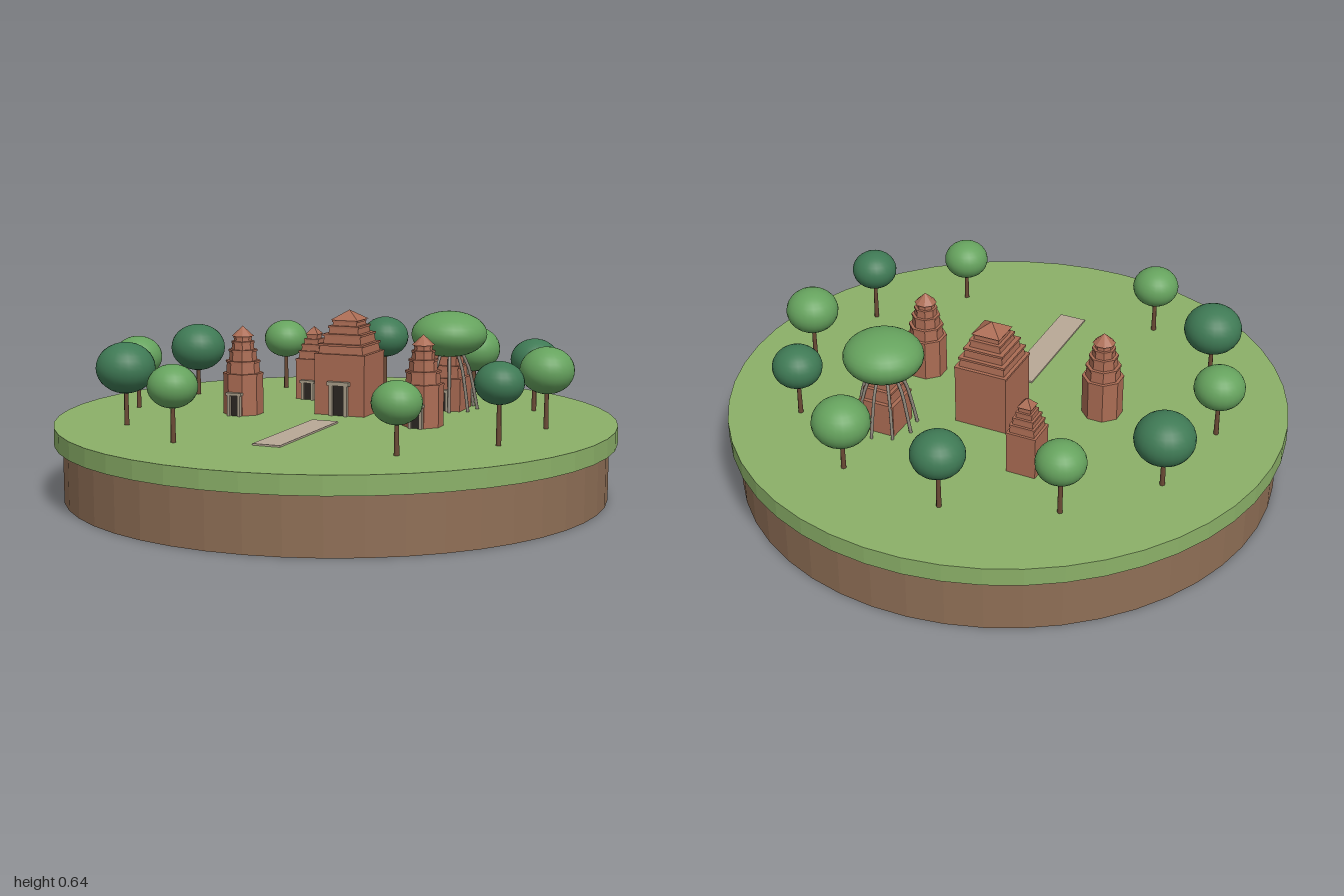
import * as THREE from 'three';

const paint = (name, color) => {
  const m = new THREE.MeshStandardMaterial({ color });
  m.name = name;
  return m;
};

export function createModel() {
  const root = new THREE.Group();
  root.name = 'templeIsland';
  const mat = {
    grass: paint('grass green', 0x8bb068),
    soil: paint('soil brown', 0x8f6f56),
    brick: paint('terracotta brick', 0xab6c54),
    stone: paint('door stone', 0xa89c88),
    dark: paint('doorway dark', 0x2b2622),
    leafLight: paint('light leaves', 0x66a35e),
    leafDark: paint('dark leaves', 0x3f7a55),
    trunk: paint('trunk brown', 0x6b4a35),
    root: paint('root grey', 0x8b8478),
    path: paint('path sand', 0xb8a896),
  };
  const GROUND = 0.265;
  const TURN = -0.36; // all shrines face down the path

  const add = (parent, name, geo, material, x = 0, y = 0, z = 0) => {
    const mesh = new THREE.Mesh(geo, material);
    mesh.name = name;
    mesh.position.set(x, y, z);
    parent.add(mesh);
    return mesh;
  };
  const flat = (geo) => {
    const g = geo.toNonIndexed();
    g.computeVertexNormals();
    return g;
  };
  const group = (name, x, z) => {
    const g = new THREE.Group();
    g.name = name;
    g.position.set(x, GROUND, z);
    root.add(g);
    return g;
  };

  // Island
  add(root, 'soilBase', flat(new THREE.CylinderGeometry(0.97, 0.97, 0.2, 48)), mat.soil, 0, 0.1, 0);
  add(root, 'grassTop', flat(new THREE.CylinderGeometry(1, 1, 0.065, 48)), mat.grass, 0, 0.2325, 0);

  // Path
  const path = add(root, 'path', new THREE.BoxGeometry(0.1, 0.006, 0.49), mat.path, -0.12, GROUND + 0.003, 0.325);
  path.rotation.y = TURN;

  // Prism whose flat face, not a corner, points at +z; half = centre to face
  const prism = (sides, bottom, top, h) => {
    const k = 1 / Math.cos(Math.PI / sides);
    return flat(new THREE.CylinderGeometry(top * k, bottom * k, h, sides).rotateY(Math.PI / sides));
  };

  // Shrine: tiers are [half width, top height], the last one is the pointed roof
  const shrine = (name, x, z, sides, tiers, door) => {
    const g = group(name, x, z);
    g.rotation.y = TURN;
    let y = 0;
    tiers.forEach(([half, top], i) => {
      const h = top - y;
      const roof = i === tiers.length - 1;
      const label = roof ? 'roof' : i ? 'tier' : 'body';
      add(g, label, prism(sides, half, roof ? 0 : half * (i ? 0.94 : 1), h), mat.brick, 0, y + h / 2, 0);
      // Thin cornice below each step
      if (!roof) add(g, 'cornice', prism(sides, half * 1.02, half * 1.02, 0.008), mat.brick, 0, top - 0.004, 0);
      y = top;
    });
    if (door) {
      // Doorway with two posts and a lintel
      const [w, h] = door;
      const front = tiers[0][0];
      const post = w * 0.2;
      add(g, 'doorway', new THREE.BoxGeometry(w - post, h, 0.008), mat.dark, 0, h / 2, front + 0.002);
      for (const s of [-1, 1]) {
        add(g, 'doorPost', new THREE.BoxGeometry(post, h, 0.02), mat.stone, s * (w - post) / 2, h / 2, front + 0.006);
      }
      add(g, 'lintel', new THREE.BoxGeometry(w * 1.2, post, 0.024), mat.stone, 0, h + post / 2, front + 0.006);
    }
    return g;
  };

  shrine('mainTemple', 0.045, -0.13, 4,
    [[0.097, 0.222], [0.086, 0.257], [0.073, 0.292], [0.058, 0.32], [0.047, 0.34], [0.053, 0.375]], [0.07, 0.11]);
  shrine('smallTemple', -0.1, -0.445, 4,
    [[0.053, 0.155], [0.045, 0.185], [0.037, 0.21], [0.029, 0.23], [0.022, 0.247], [0.026, 0.277]], [0.05, 0.065]);
  const towerTiers = [[0.067, 0.15], [0.057, 0.195], [0.047, 0.235], [0.038, 0.265], [0.03, 0.283], [0.037, 0.32]];
  shrine('leftTower', 0.31, 0.145, 8, towerTiers, [0.05, 0.075]);
  shrine('rightTower', -0.34, -0.085, 8, towerTiers, [0.05, 0.075]);

  // Overgrown shrine with a spreading tree on top
  const ruin = shrine('overgrownTemple', 0.41, -0.22, 4,
    [[0.066, 0.12], [0.054, 0.165], [0.043, 0.2], [0.03, 0.23]], [0.05, 0.07]);
  for (let i = 0; i < 9; i++) {
    const a = (i + 0.5) / 9 * Math.PI * 2;
    const at = (r, y) => new THREE.Vector3(Math.sin(a) * r, y, Math.cos(a) * r);
    const curve = new THREE.CatmullRomCurve3([at(0.03, 0.24), at(0.072, 0.16), at(0.092, 0.08), at(0.108, 0)]);
    add(ruin, 'hangingRoot', new THREE.TubeGeometry(curve, 8, 0.006, 6), mat.root);
  }
  add(ruin, 'spreadingCrown', new THREE.SphereGeometry(0.14, 28, 18).scale(1, 0.6, 1), mat.leafLight, 0, 0.277, 0);

  // Ring of trees: x, z, crown radius, crown height, dark leaves
  const trees = [
    [-0.225, -0.69, 0.085, 0.463, 0], [0.17, -0.69, 0.092, 0.472, 1],
    [-0.555, -0.51, 0.104, 0.45, 1], [0.515, -0.5, 0.1, 0.45, 0],
    [-0.74, -0.195, 0.089, 0.455, 0], [0.722, -0.177, 0.088, 0.455, 1],
    [-0.725, 0.177, 0.104, 0.467, 1], [0.735, 0.192, 0.095, 0.468, 0],
    [-0.518, 0.497, 0.085, 0.453, 0], [0.553, 0.51, 0.083, 0.472, 1],
    [0.22, 0.69, 0.083, 0.435, 0],
  ];
  for (const [x, z, r, y, dark] of trees) {
    const g = group('tree', x, z);
    const h = y - GROUND;
    add(g, 'trunk', new THREE.CylinderGeometry(0.006, 0.009, h, 8), mat.trunk, 0, h / 2, 0);
    add(g, 'crown', new THREE.SphereGeometry(r, 24, 16).scale(1, 0.86, 1), dark ? mat.leafDark : mat.leafLight, 0, h, 0);
  }

  return root;
}
